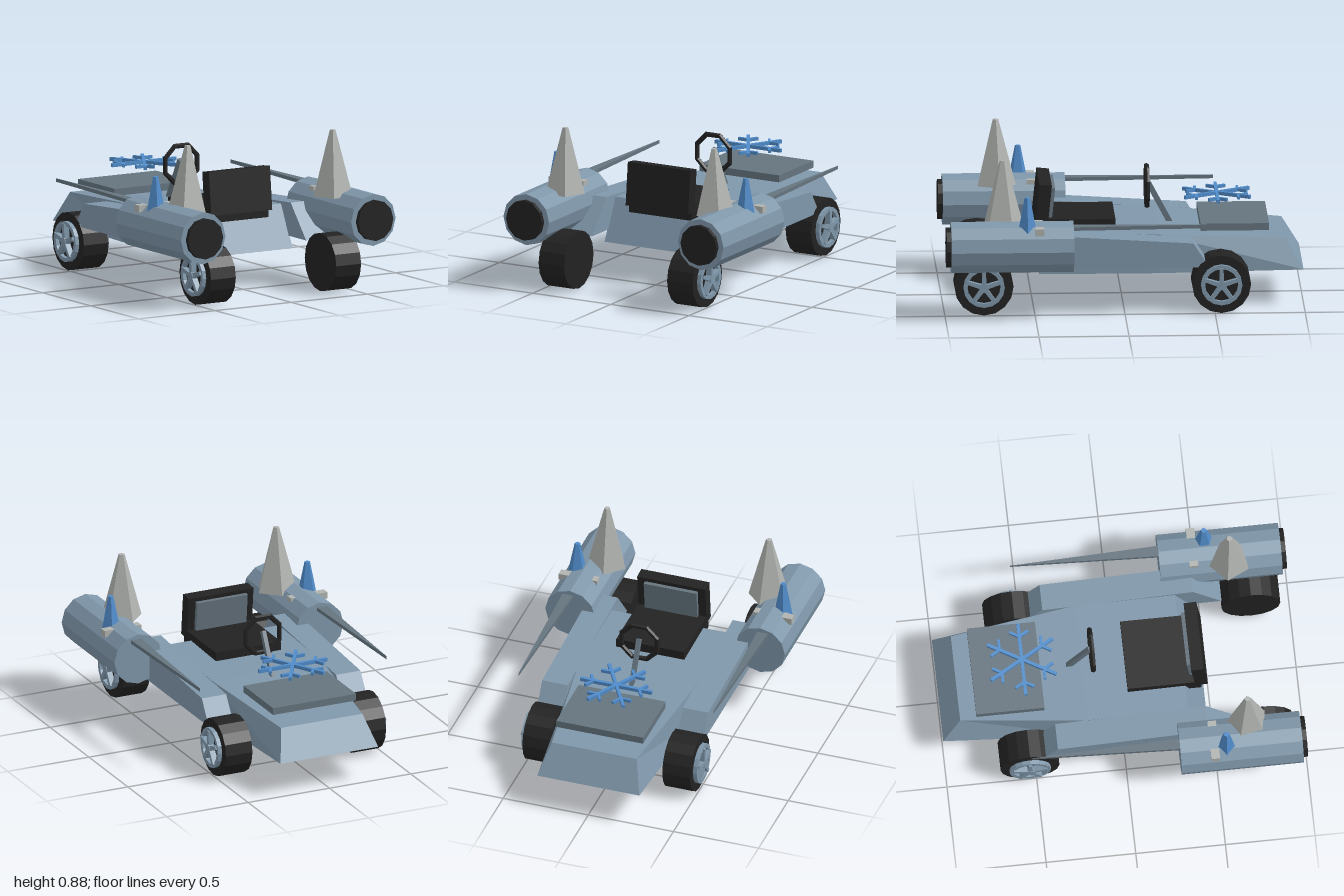
import * as THREE from 'three';

const mat = (name, color) => {
  const m = new THREE.MeshStandardMaterial({ color, flatShading: true });
  m.name = name;
  return m;
};

export function createModel() {
  const body = mat('steel blue', 0x7f97aa);
  const slate = mat('slate', 0x65747f);
  const black = mat('black', 0x222222);
  const ice = mat('ice blue', 0x508cca);
  const grey = mat('pale grey', 0xb0b3b0);
  const model = new THREE.Group();

  const add = (name, geo, material, x = 0, y = 0, z = 0, parent = model) => {
    const m = new THREE.Mesh(geo, material);
    m.name = name;
    m.position.set(x, y, z);
    parent.add(m);
    return m;
  };
  const box = (w, h, d) => new THREE.BoxGeometry(w, h, d);
  const extrude = (pts, depth) => new THREE.ExtrudeGeometry(
    new THREE.Shape(pts.map(p => new THREE.Vector2(...p))), { depth, bevelEnabled: false }
  ).translate(0, 0, -depth / 2);

  // Chassis: lofted cross-sections [bottom z, bottom half width, top z, top half width, top y]
  const sections = [
    [0.47, 0.345, 0.36, 0.34, 0.435],
    [-0.2, 0.35, -0.2, 0.34, 0.418],
    [-1.0, 0.30, -0.9, 0.25, 0.37],
  ];
  const pos = [], idx = [];
  for (const [zb, wb, zt, wt, y] of sections) {
    pos.push(-wb, 0.2, zb, wb, 0.2, zb, wt, y, zt, -wt, y, zt);
  }
  for (let s = 0; s < sections.length - 1; s++) {
    for (let k = 0; k < 4; k++) {
      const a = s * 4 + k, b = s * 4 + (k + 1) % 4;
      idx.push(a, a + 4, b, b, a + 4, b + 4);
    }
  }
  const e = (sections.length - 1) * 4;
  idx.push(0, 1, 2, 0, 2, 3, e, e + 2, e + 1, e, e + 3, e + 2);
  let chassis = new THREE.BufferGeometry();
  chassis.setAttribute('position', new THREE.Float32BufferAttribute(pos, 3));
  chassis.setIndex(idx);
  chassis = chassis.toNonIndexed();
  chassis.computeVertexNormals();
  add('chassis', chassis, body);

  // Hood plate and snowflake ornament
  add('hoodPlate', box(0.51, 0.04, 0.38), slate, 0, 0.436, -0.62);
  const flake = new THREE.Group();
  flake.name = 'snowflake';
  flake.position.set(0, 0.57, -0.53);
  model.add(flake);
  for (let i = 0; i < 6; i++) {
    const arm = new THREE.Group();
    arm.name = 'snowflakeArm';
    arm.rotation.y = i * Math.PI / 3;
    flake.add(arm);
    add('armBar', box(0.21, 0.02, 0.018), ice, 0.105, 0, 0, arm);
    for (const s of [-1, 1]) {
      const a = s * Math.PI / 3;
      add('armBranch', box(0.06, 0.018, 0.015), ice,
        0.135 + 0.03 * Math.cos(a), 0, -0.03 * Math.sin(a), arm).rotation.y = a;
    }
  }

  // Seat
  add('seatCushion', box(0.4, 0.09, 0.41), black, 0, 0.43, 0.245);
  const back = new THREE.Group();
  back.name = 'seatBack';
  back.position.set(0, 0.55, 0.44);
  back.rotation.x = -0.1;
  model.add(back);
  add('backrest', box(0.4, 0.245, 0.07), black, 0, 0, 0, back);
  add('backrestPad', box(0.31, 0.18, 0.025), slate, 0, 0.01, -0.045, back);

  // Steering
  add('steeringWheel', new THREE.TorusGeometry(0.112, 0.015, 6, 8).rotateZ(Math.PI / 8),
    black, 0, 0.615, -0.142);
  const column = add('steeringColumn', box(0.024, 0.29, 0.03), slate, 0, 0.51, -0.215);
  column.rotation.x = 0.49;

  // Wheels: tyre, rim ring and five tapered spokes on the outer side
  const tyre = new THREE.CylinderGeometry(0.164, 0.164, 0.163, 16).rotateZ(Math.PI / 2);
  const ringShape = new THREE.Shape().absarc(0, 0, 0.115, 0, Math.PI * 2);
  ringShape.holes.push(new THREE.Path().absarc(0, 0, 0.092, 0, Math.PI * 2, true));
  const ring = new THREE.ExtrudeGeometry(ringShape, { depth: 0.03, bevelEnabled: false, curveSegments: 8 })
    .translate(0, 0, -0.015).rotateY(Math.PI / 2);
  const spoke = box(0.045, 0.1, 0.026).translate(0, 0.05, 0);
  const sp = spoke.attributes.position;
  for (let i = 0; i < sp.count; i++) {
    if (sp.getY(i) > 0.05) sp.setZ(i, sp.getZ(i) * 0.75);
  }
  const hub = new THREE.CylinderGeometry(0.026, 0.026, 0.048, 10).rotateZ(Math.PI / 2);
  for (const s of [-1, 1]) {
    for (const [name, z] of [['frontWheel', -0.536], ['rearWheel', 0.783]]) {
      const wheel = new THREE.Group();
      wheel.name = name;
      wheel.position.set(s * 0.411, 0.168, z);
      model.add(wheel);
      add('tyre', tyre, black, 0, 0, 0, wheel);
      add('rim', ring, body, s * 0.09, 0, 0, wheel);
      add('hub', hub, body, s * 0.094, 0, 0, wheel);
      for (let i = 0; i < 5; i++) {
        add('spoke', spoke, body, s * 0.092, 0, 0, wheel).rotation.x = i * Math.PI * 2 / 5;
      }
    }
  }

  // Side pods, boosters and their spikes
  const pod = extrude([[0.62, 0.265], [0.46, 0.455], [-0.38, 0.402], [-0.47, 0.265]], 0.15)
    .rotateY(-Math.PI / 2);
  const tube = (r, len) => new THREE.CylinderGeometry(r, r, len, 12).rotateX(Math.PI / 2);
  const lance = extrude([[-0.032, -0.32], [0.032, -0.32], [0, 0.535]], 0.02).rotateX(-Math.PI / 2);
  for (const s of [-1, 1]) {
    add('sidePod', pod, body, s * 0.413, 0, 0);
    add('booster', tube(0.146, 0.68), body, s * 0.558, 0.411, 0.63);
    add('boosterNozzle', tube(0.115, 0.04), black, s * 0.558, 0.411, 0.976);
    add('lance', lance, slate, s * 0.572, 0.52, 0);
    add('crossBar', box(0.225, 0.038, 0.048), grey, s * 0.572, 0.52, 0.48);
    add('largeSpike', new THREE.CylinderGeometry(0.017, 0.115, 0.37, 5), grey,
      s * 0.475, 0.7, 0.678).rotation.y = -s * 1.745;
    add('smallSpike', new THREE.CylinderGeometry(0.016, 0.055, 0.195, 5), ice,
      s * 0.605, 0.605, 0.548).rotation.y = s * 0.35;
  }

  return model;
}
